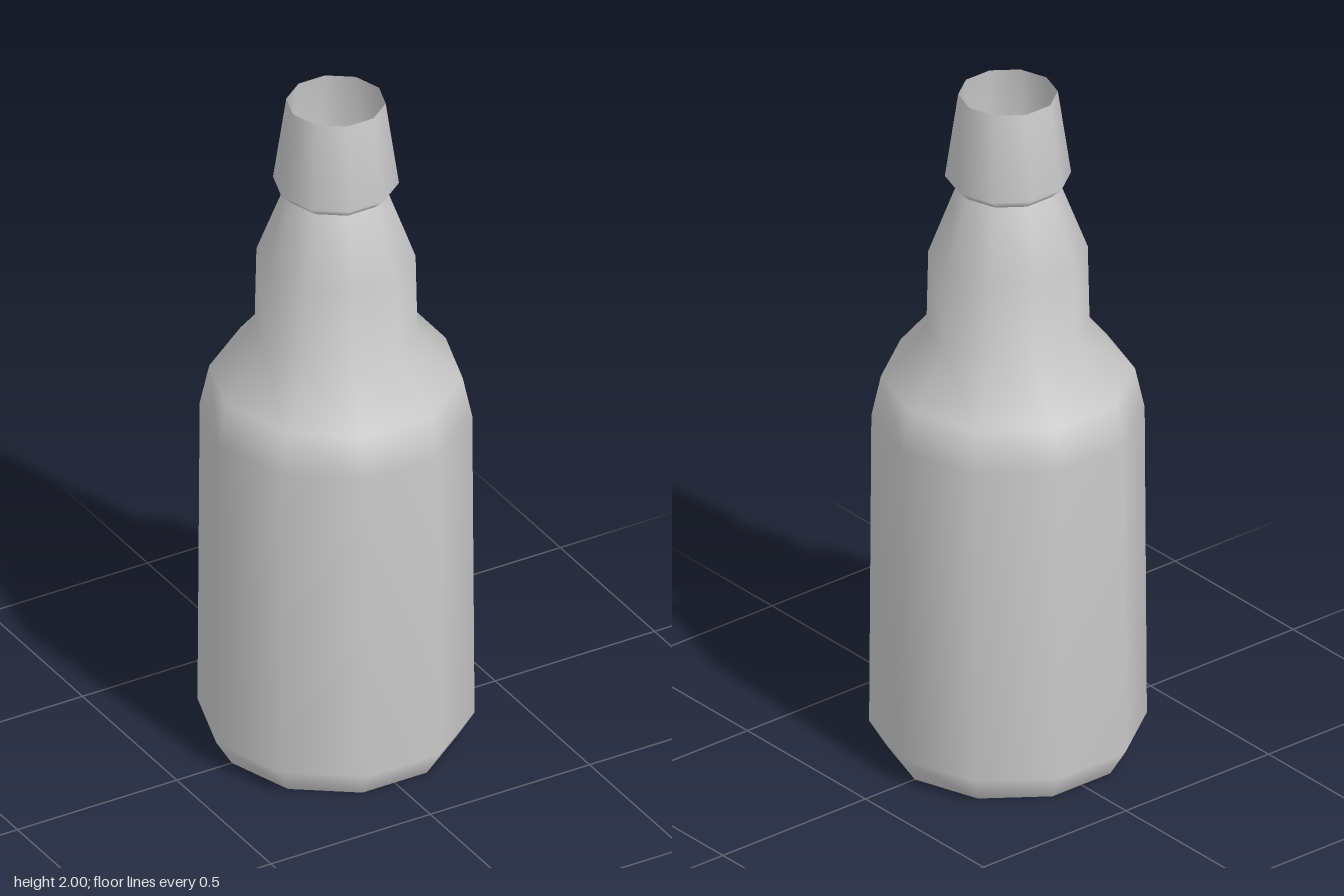
import * as THREE from 'three';

const SIDES = 10;

export function createModel() {
  const group = new THREE.Group();
  group.name = 'bottle';
  const material = new THREE.MeshStandardMaterial({ color: 0xcccccc, side: THREE.DoubleSide });

  const add = (name, geometry) => {
    const mesh = new THREE.Mesh(geometry, material);
    mesh.name = name;
    group.add(mesh);
  };

  // Ten-sided revolved shell with corners on the x axis; profile is [radius, height]
  const revolve = (profile) => new THREE.LatheGeometry(
    profile.map(([r, y]) => new THREE.Vector2(r, y)), SIDES, Math.PI / 2);

  // Chamfered base, body, shoulder and tapering neck
  add('body', revolve([
    [0.327, 0], [0.376, 0.08], [0.37, 1.02], [0.344, 1.14],
    [0.221, 1.29], [0.216, 1.52], [0.14, 1.72],
  ]));

  // Flared collar with an open mouth
  add('lip', revolve([[0.14, 1.72], [0.171, 1.75], [0.135, 2]]));

  // Flat floor, also seen through the mouth
  add('floor', new THREE.CircleGeometry(0.327, SIDES).rotateX(Math.PI / 2));

  return group;
}
